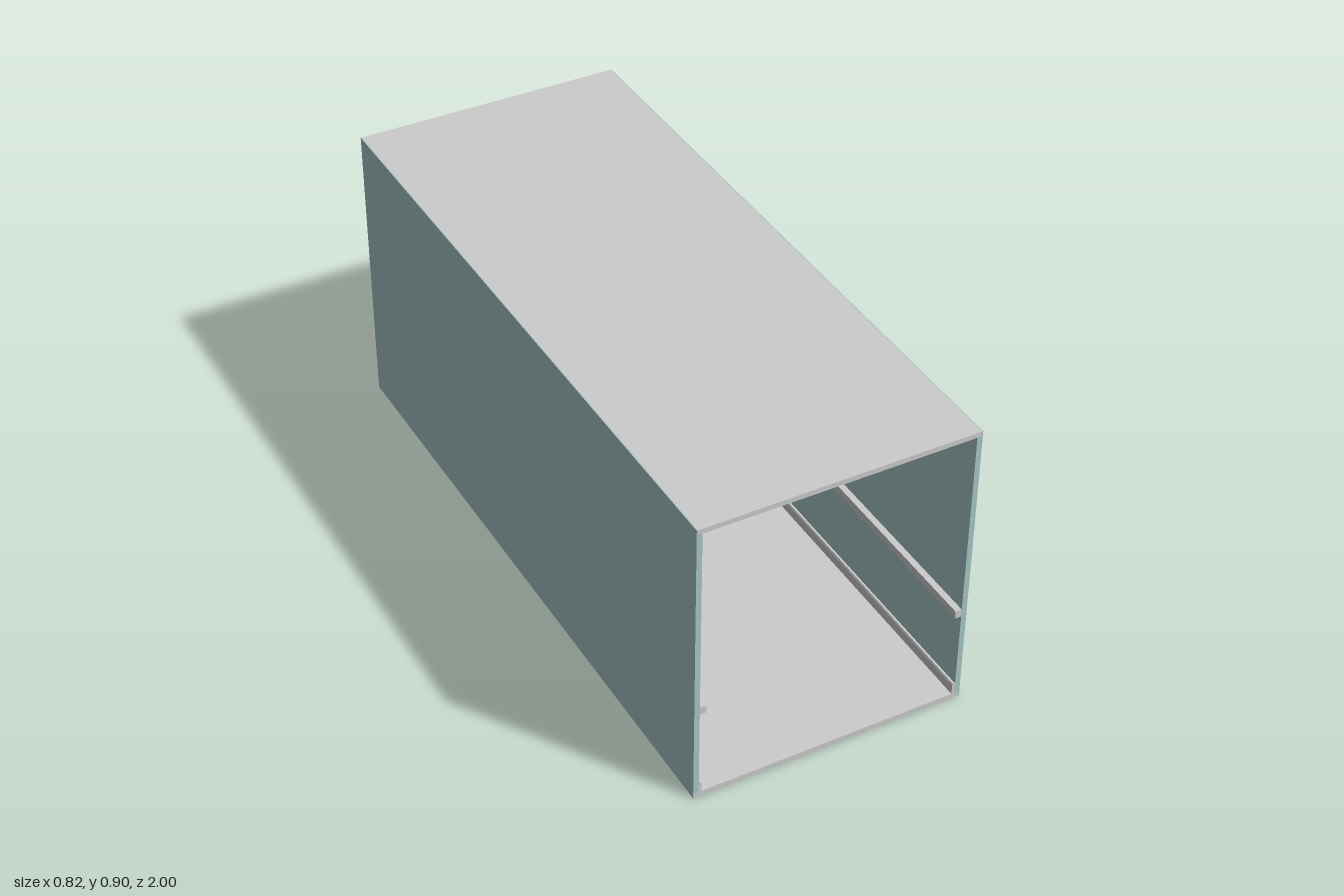
import * as THREE from 'three';

const grey = new THREE.MeshStandardMaterial({ color: 0xcccccc });
const teal = new THREE.MeshStandardMaterial({ color: 0xa7c6c6 });

export function createModel() {
  const model = new THREE.Group();
  const LENGTH = 2;

  // Box given by its min and max corners
  function box(name, material, [x0, y0, z0], [x1, y1, z1]) {
    const mesh = new THREE.Mesh(new THREE.BoxGeometry(x1 - x0, y1 - y0, z1 - z0), material);
    mesh.position.set((x0 + x1) / 2, (y0 + y1) / 2, (z0 + z1) / 2);
    mesh.name = name;
    model.add(mesh);
  }

  // Floor and ceiling slabs between the walls
  box('floor', grey, [-0.405, 0, -1], [0.405, 0.016, 1]);
  box('ceiling', grey, [-0.405, 0.885, -1], [0.405, 0.9, 1]);

  for (const side of [-1, 1]) {
    const prefix = side > 0 ? 'left' : 'right';
    const sideBox = (name, material, xIn, xOut, y0, y1, z0, z1) =>
      box(prefix + name, material,
        [Math.min(side * xIn, side * xOut), y0, z0],
        [Math.max(side * xIn, side * xOut), y1, z1]);

    // Wall panel: inner lining and outer skin
    sideBox('WallLining', teal, 0.392, 0.405, 0.016, 0.885, -1, 1);
    sideBox('WallSkin', teal, 0.405, 0.408, 0, 0.9, -1, 1);

    // Handrail with small brackets below
    sideBox('Rail', grey, 0.373, 0.392, 0.29, 0.314, -1, 1);
    for (let i = 0; i < 6; i++) {
      const z = -0.85 + i * 0.34;
      sideBox('RailBracket', grey, 0.379, 0.392, 0.277, 0.29, z - 0.015, z + 0.015);
    }

    // Skirting with a slightly sloped face
    const profile = new THREE.Shape([
      [0.392, 0.016], [0.392, 0.05], [0.386, 0.05], [0.383, 0.045], [0.383, 0.016],
    ].map(([x, y]) => new THREE.Vector2(side * x, y)));
    const skirting = new THREE.Mesh(
      new THREE.ExtrudeGeometry(profile, { depth: LENGTH, bevelEnabled: false }), grey);
    skirting.position.z = -LENGTH / 2;
    skirting.name = prefix + 'Skirting';
    model.add(skirting);
  }

  // Header bars just inside both open ends
  for (const end of [-1, 1]) {
    box('header', grey, [-0.392, 0.875, end * 0.975 - 0.015], [0.392, 0.885, end * 0.975 + 0.015]);
  }

  // Row of flat ceiling panels
  for (const z of [-0.672, 0, 0.672]) {
    box('ceilingPanel', grey, [-0.083, 0.872, z - 0.185], [0.083, 0.885, z + 0.185]);
  }

  return model;
}
